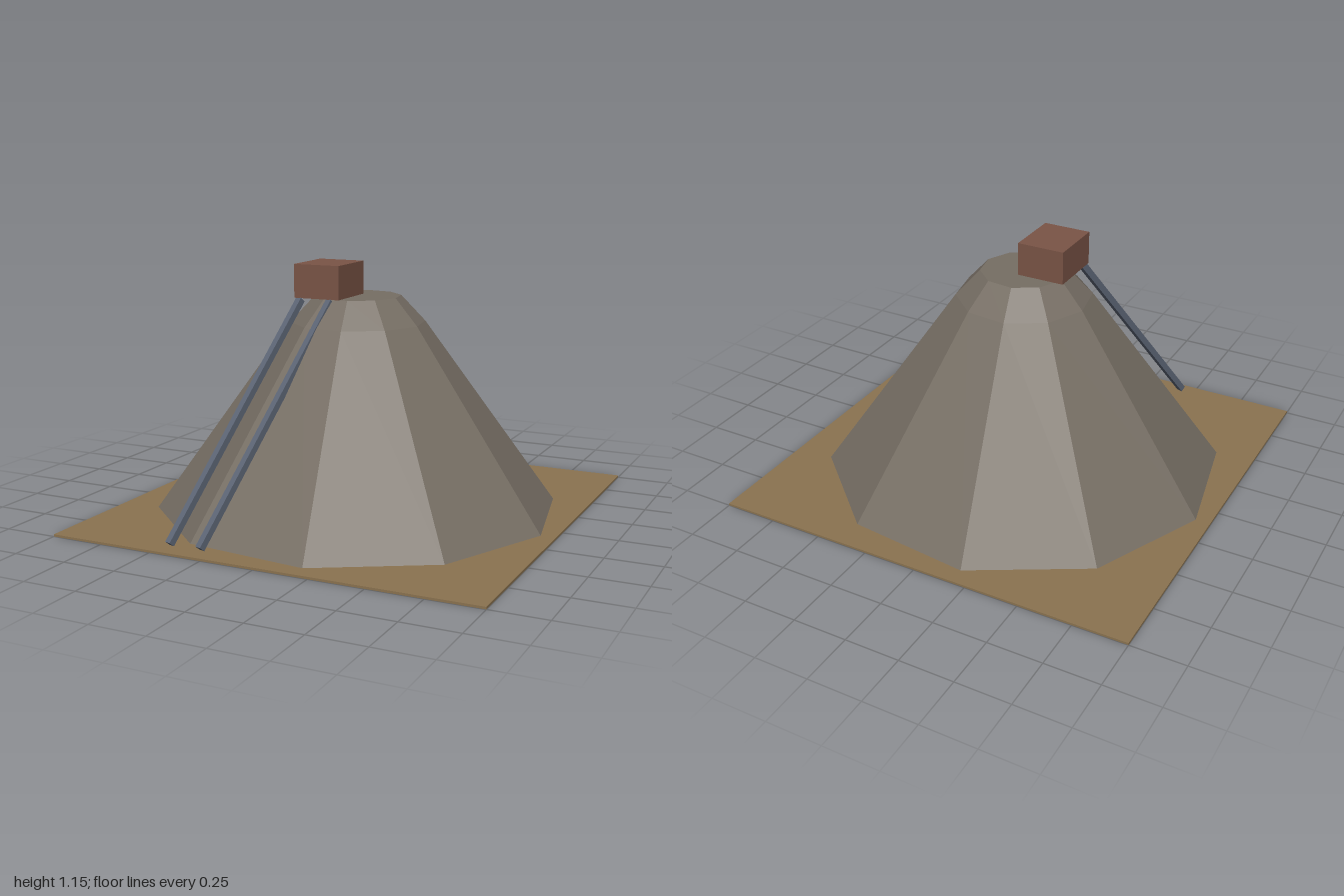
import * as THREE from 'three';

const material = (name, color) => {
  const m = new THREE.MeshStandardMaterial({ color });
  m.name = name;
  return m;
};

export function createModel() {
  const model = new THREE.Group();
  model.name = 'spoilHeap';
  const earth = material('earth brown', 0x8b7350);
  const rock = material('grey rock', 0x766e64);
  const brick = material('brick red', 0x7a5446);
  const steel = material('blue grey steel', 0x5c6575);

  const add = (name, geometry, mat, x = 0, y = 0, z = 0) => {
    const mesh = new THREE.Mesh(geometry, mat);
    mesh.name = name;
    mesh.position.set(x, y, z);
    model.add(mesh);
    return mesh;
  };

  // Thin square of ground
  add('ground', new THREE.BoxGeometry(2, 0.01, 2), earth, 0, 0.005, 0);

  // Ten-sided faceted heap with a bevelled shoulder and flat summit
  const profile = [[0.942, 0.005], [0.312, 0.88], [0.2, 1], [0, 1]]
    .map(([r, y]) => new THREE.Vector2(r, y));
  const turn = THREE.MathUtils.degToRad(11.4);
  const heap = new THREE.LatheGeometry(profile, 10, turn).toNonIndexed();
  heap.computeVertexNormals();
  add('heap', heap, rock);

  // Hut at the summit
  add('summitHut', new THREE.BoxGeometry(0.222, 0.153, 0.262), brick, -0.113, 1.0765, 0.069);

  // Two parallel rails climbing the slope to the hut
  const slope = new THREE.Vector3(0.24, 0.965, -0.75);
  for (const [name, x] of [['rightRail', -0.44], ['leftRail', -0.29]]) {
    const foot = new THREE.Vector3(x, 0.027, 0.936);
    const middle = foot.clone().addScaledVector(slope, 0.5);
    const rail = add(name, new THREE.BoxGeometry(0.03, 0.03, slope.length()), steel, ...middle);
    rail.lookAt(foot);
  }
  return model;
}
